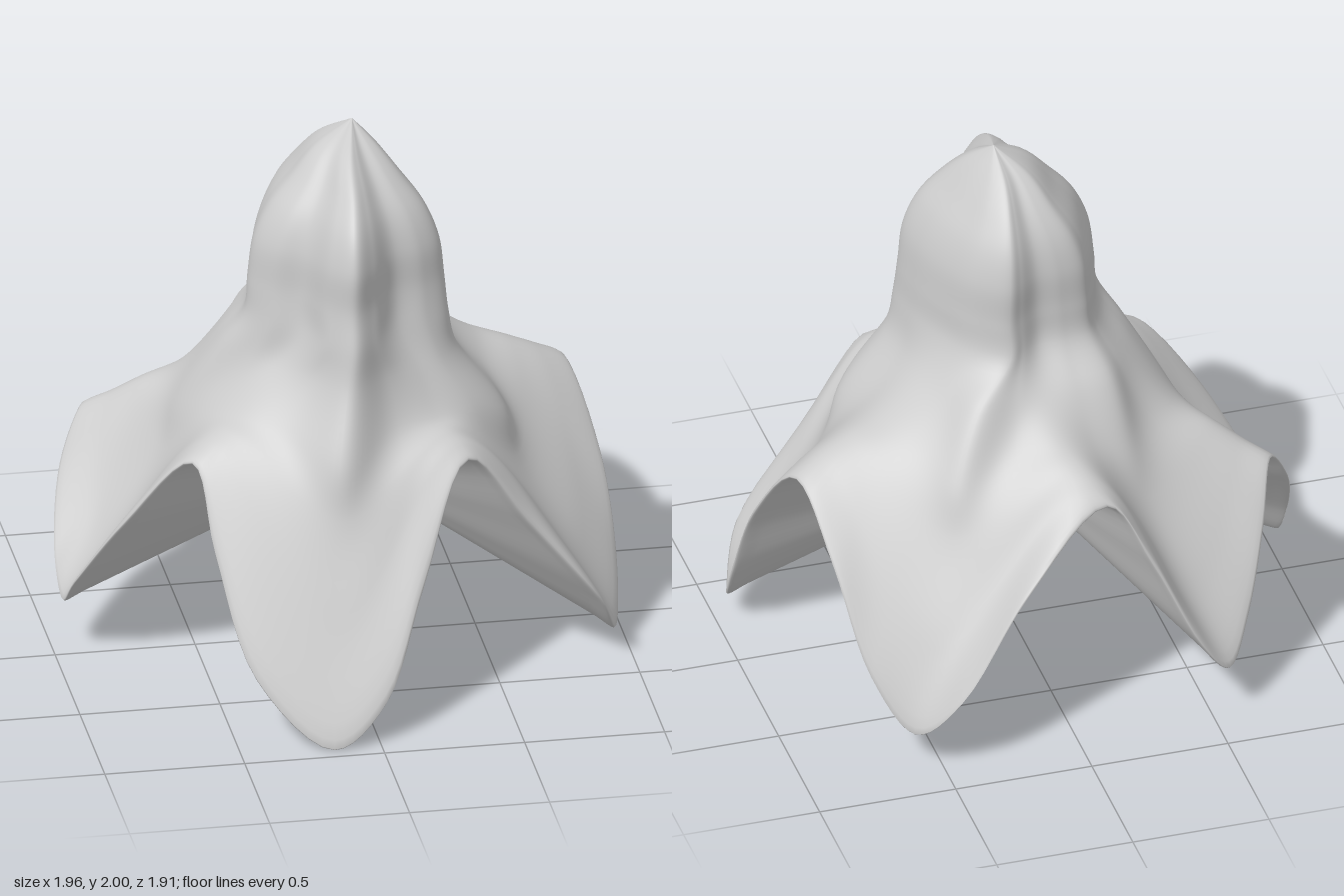
import * as THREE from 'three';

const V = (x, y, z) => new THREE.Vector3(x, y, z);
const ring = (pts) => new THREE.CatmullRomCurve3(pts.map((p) => V(...p)), true, 'centripetal');

// Every ring starts at the front lobe and runs towards +x, lobe and notch in turn.
// Five-lobed outline of the upper body, with a point between each lobe and notch: x, z
const BODY = [
  [-0.01, 0.46], [0.07, 0.4], [0.16, 0.3], [0.27, 0.27], [0.35, 0.2],
  [0.34, 0.04], [0.28, -0.13], [0.21, -0.25], [0.1, -0.33], [0.05, -0.31],
  [-0.02, -0.27], [-0.11, -0.27], [-0.2, -0.25], [-0.24, -0.19], [-0.27, -0.12],
  [-0.3, -0.02], [-0.32, 0.09], [-0.26, 0.19], [-0.16, 0.26], [-0.09, 0.39],
];
// Heights of the body rings with their widths along x and z
const LEVELS = [
  [1.92, 0.32, 0.4], [1.82, 0.57, 0.72], [1.72, 0.8, 0.91],
  [1.6, 0.95, 1], [1.45, 1.01, 1], [1.32, 1.05, 1.06],
];

// Shoulder, where the lobes turn into buttresses: x, z
const SHOULDER = [
  [-0.03, 0.51], [0.11, 0.41], [0.23, 0.34], [0.33, 0.3], [0.4, 0.2],
  [0.39, 0.03], [0.37, -0.14], [0.31, -0.3], [0.24, -0.43], [0.1, -0.42],
  [-0.01, -0.41], [-0.13, -0.4], [-0.26, -0.38], [-0.32, -0.28], [-0.37, -0.18],
  [-0.41, -0.07], [-0.42, 0.05], [-0.34, 0.17], [-0.25, 0.26], [-0.15, 0.38],
];
// Knee, the outermost part of the buttresses
const KNEE = [
  [-0.07, 0.93, 0.61], [0.13, 1.0, 0.47], [0.29, 1.0, 0.41], [0.44, 1.0, 0.33], [0.57, 0.93, 0.21],
  [0.52, 1.02, 0.02], [0.52, 1.06, -0.18], [0.42, 1.04, -0.37], [0.35, 0.95, -0.54], [0.15, 1.04, -0.52],
  [-0.03, 1.07, -0.56], [-0.17, 1.02, -0.51], [-0.3, 0.95, -0.49], [-0.4, 0.98, -0.37], [-0.52, 0.97, -0.27],
  [-0.55, 0.96, -0.14], [-0.56, 0.93, -0.04], [-0.48, 0.99, 0.13], [-0.39, 1.02, 0.3], [-0.24, 1.0, 0.44],
];
// Foot, where the buttresses end on the petals
const FOOT = [
  [-0.09, 0.74, 0.65], [0.33, 0.97, 0.46], [0.62, 0.75, 0.22], [0.65, 1.01, -0.2], [0.39, 0.78, -0.6],
  [-0.06, 1.03, -0.64], [-0.34, 0.78, -0.56], [-0.64, 0.9, -0.32], [-0.62, 0.76, -0.04], [-0.46, 0.98, 0.33],
];
// Upper face of the petals
const PETALS = [
  [-0.13, 0.4, 0.79], [0.36, 0.94, 0.51], [0.82, 0.4, 0.27], [0.76, 0.96, -0.22], [0.5, 0.45, -0.75],
  [-0.09, 0.98, -0.71], [-0.46, 0.47, -0.71], [-0.74, 0.83, -0.37], [-0.82, 0.43, -0.04], [-0.52, 0.94, 0.36],
];
// Petal edge: tip, low side, high side, notch, high side, low side
const RIM = [
  [-0.17, 0, 0.95], [0.02, 0.15, 0.92], [0.18, 0.52, 0.77], [0.38, 0.9, 0.55], [0.6, 0.62, 0.49], [0.87, 0.27, 0.45],
  [0.95, 0.09, 0.3], [0.98, 0.27, 0.14], [0.95, 0.62, -0.02], [0.86, 0.9, -0.25], [0.8, 0.68, -0.5], [0.72, 0.32, -0.7],
  [0.6, 0.14, -0.83], [0.46, 0.32, -0.95], [0.2, 0.68, -0.89], [-0.13, 0.92, -0.76], [-0.28, 0.68, -0.81], [-0.45, 0.33, -0.86],
  [-0.56, 0.2, -0.83], [-0.66, 0.34, -0.72], [-0.76, 0.6, -0.57], [-0.83, 0.77, -0.42], [-0.93, 0.6, -0.3], [-0.98, 0.35, -0.13],
  [-0.97, 0.2, -0.03], [-0.95, 0.32, 0.1], [-0.8, 0.62, 0.27], [-0.58, 0.89, 0.39], [-0.53, 0.62, 0.57], [-0.42, 0.22, 0.8],
];

export function createModel() {
  const group = new THREE.Group();
  group.name = 'petalledBell';

  const top = V(0.06, 2, 0);
  const hollow = V(0.03, 0.65, 0);
  const rings = LEVELS.map(([y, sx, sz]) => ring(BODY.map(([x, z]) => [0.04 + (x - 0.04) * sx, y, z * sz])));
  rings.push(ring(SHOULDER.map(([x, z]) => [x, 1.18, z])), ring(KNEE), ring(FOOT), ring(PETALS), ring(RIM));

  // Each column runs from the top over the petal edge and back to the hollow below
  const columns = 180, steps = 100;
  const positions = [], index = [];
  for (let i = 0; i < columns; i++) {
    const path = [top, ...rings.map((r) => r.getPoint(i / columns))];
    const edge = path[path.length - 1];
    for (const k of [0.08, 0.4, 0.7, 1]) path.push(edge.clone().lerp(hollow, k));
    const curve = new THREE.CatmullRomCurve3(path, false, 'centripetal');
    for (let j = 0; j <= steps; j++) {
      const p = curve.getPoint(j / steps);
      positions.push(p.x, p.y, p.z);
    }
  }
  const id = (i, j) => (i % columns) * (steps + 1) + j;
  for (let i = 0; i < columns; i++) {
    for (let j = 0; j < steps; j++) {
      const a = id(i, j), b = id(i, j + 1), c = id(i + 1, j + 1), d = id(i + 1, j);
      if (j < steps - 1) index.push(a, b, c);
      else index.push(a, b, d);
      if (j > 0 && j < steps - 1) index.push(a, c, d);
    }
  }
  const geometry = new THREE.BufferGeometry();
  geometry.setAttribute('position', new THREE.Float32BufferAttribute(positions, 3));
  geometry.setIndex(index);
  geometry.computeVertexNormals();

  const bell = new THREE.Mesh(
    geometry,
    new THREE.MeshStandardMaterial({ color: 0xcccccc, side: THREE.DoubleSide }),
  );
  bell.name = 'bellWithPetals';
  group.add(bell);
  return group;
}
